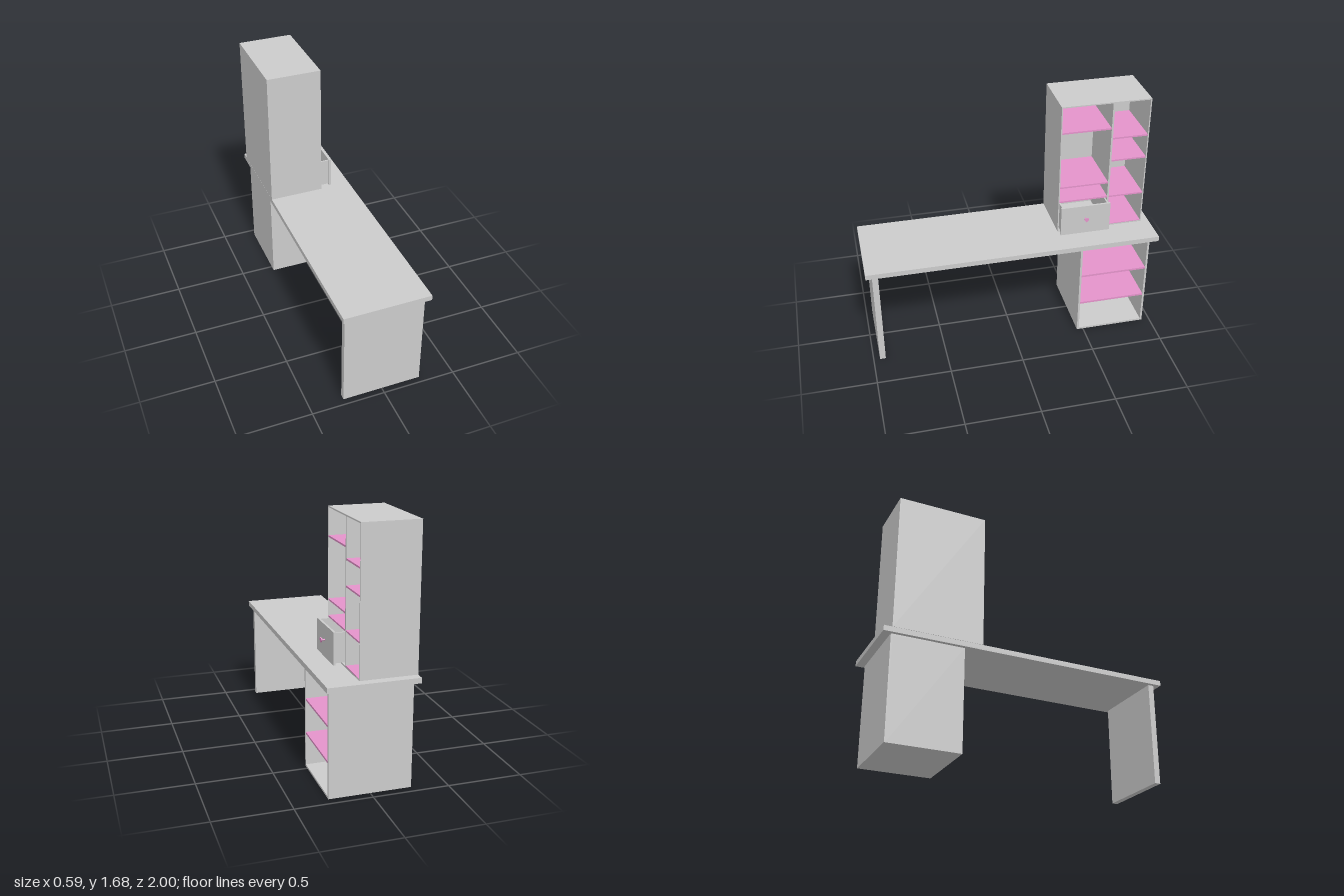
import * as THREE from 'three';

const grey = new THREE.MeshStandardMaterial({ color: 0xcccccc });
const pink = new THREE.MeshStandardMaterial({ color: 0xe493cb });

// Box given by its extents on each axis
function box(parent, name, [x0, x1], [y0, y1], [z0, z1], material = grey) {
  const mesh = new THREE.Mesh(new THREE.BoxGeometry(x1 - x0, y1 - y0, z1 - z0), material);
  mesh.position.set((x0 + x1) / 2, (y0 + y1) / 2, (z0 + z1) / 2);
  mesh.name = name;
  parent.add(mesh);
  return mesh;
}

// Cabinet of five panels, open towards +x
function carcass(name, [x0, x1], [y0, y1], [z0, z1], t) {
  const g = new THREE.Group();
  g.name = name;
  box(g, 'bottomPanel', [x0, x1], [y0, y0 + t], [z0, z1]);
  box(g, 'topPanel', [x0, x1], [y1 - t, y1], [z0, z1]);
  box(g, 'rearSidePanel', [x0, x1], [y0 + t, y1 - t], [z0, z0 + t]);
  box(g, 'frontSidePanel', [x0, x1], [y0 + t, y1 - t], [z1 - t, z1]);
  box(g, 'backPanel', [x0, x0 + t], [y0 + t, y1 - t], [z0 + t, z1 - t]);
  return g;
}

// Row of coloured shelves at the given heights
function shelves(parent, xs, zs, heights, t) {
  for (const y of heights) box(parent, 'shelf', xs, [y - t / 2, y + t / 2], zs, pink);
}

function createKnob() {
  const knob = new THREE.Group();
  knob.name = 'drawerKnob';
  const stem = new THREE.Mesh(new THREE.CylinderGeometry(0.005, 0.005, 0.024, 16), pink);
  stem.rotation.z = Math.PI / 2;
  stem.position.x = 0.011;
  stem.name = 'knobStem';

  // Heart-shaped head
  const s = new THREE.Shape();
  s.moveTo(0, -0.016);
  s.bezierCurveTo(-0.008, -0.008, -0.016, -0.002, -0.016, 0.006);
  s.bezierCurveTo(-0.016, 0.016, -0.003, 0.018, 0, 0.008);
  s.bezierCurveTo(0.003, 0.018, 0.016, 0.016, 0.016, 0.006);
  s.bezierCurveTo(0.016, -0.002, 0.008, -0.008, 0, -0.016);
  const geo = new THREE.ExtrudeGeometry(s, { depth: 0.008, bevelEnabled: false, curveSegments: 8 });
  geo.rotateY(Math.PI / 2);
  const head = new THREE.Mesh(geo, pink);
  head.position.x = 0.022;
  head.name = 'knobHead';
  knob.add(stem, head);
  return knob;
}

// Open-topped drawer, pulled partly out
function createDrawer() {
  const g = new THREE.Group();
  g.name = 'drawer';
  const x = [-0.21, 0.142], y = [0.765, 0.96], z = [-0.675, -0.35], t = 0.01;
  box(g, 'drawerBottom', x, [y[0], y[0] + t], z);
  box(g, 'drawerSide', x, [y[0] + t, y[1]], [z[0], z[0] + t]);
  box(g, 'drawerSide', x, [y[0] + t, y[1]], [z[1] - t, z[1]]);
  box(g, 'drawerBack', [x[0], x[0] + t], [y[0] + t, y[1]], [z[0] + t, z[1] - t]);
  box(g, 'drawerFront', [0.14, 0.154], [0.755, 0.966], [-0.685, -0.341]);
  const knob = createKnob();
  knob.position.set(0.154, 0.87, -0.513);
  g.add(knob);
  return g;
}

export function createModel() {
  const model = new THREE.Group();
  model.name = 'desk';

  // Desk top and end panel
  box(model, 'deskTop', [-0.295, 0.295], [0.702, 0.737], [-1, 1]);
  box(model, 'legPanel', [-0.27, 0.27], [0, 0.702], [0.917, 0.957]);

  // Cabinet under the desk
  const base = carcass('baseCabinet', [-0.27, 0.27], [0, 0.702], [-0.945, -0.455], 0.014);
  shelves(base, [-0.256, 0.268], [-0.931, -0.469], [0.235, 0.467], 0.014);
  model.add(base);

  // Shelf unit on the desk, split into two columns
  const hutch = carcass('shelfUnit', [-0.295, 0.08], [0.738, 1.68], [-0.945, -0.34], 0.008);
  box(hutch, 'divider', [-0.287, 0.08], [0.746, 1.672], [-0.695, -0.683]);
  shelves(hutch, [-0.287, 0.079], [-0.683, -0.348], [0.972, 1.083, 1.49], 0.011);
  shelves(hutch, [-0.287, 0.079], [-0.937, -0.695], [0.745, 0.972, 1.25, 1.416], 0.011);
  model.add(hutch);

  model.add(createDrawer());
  return model;
}
